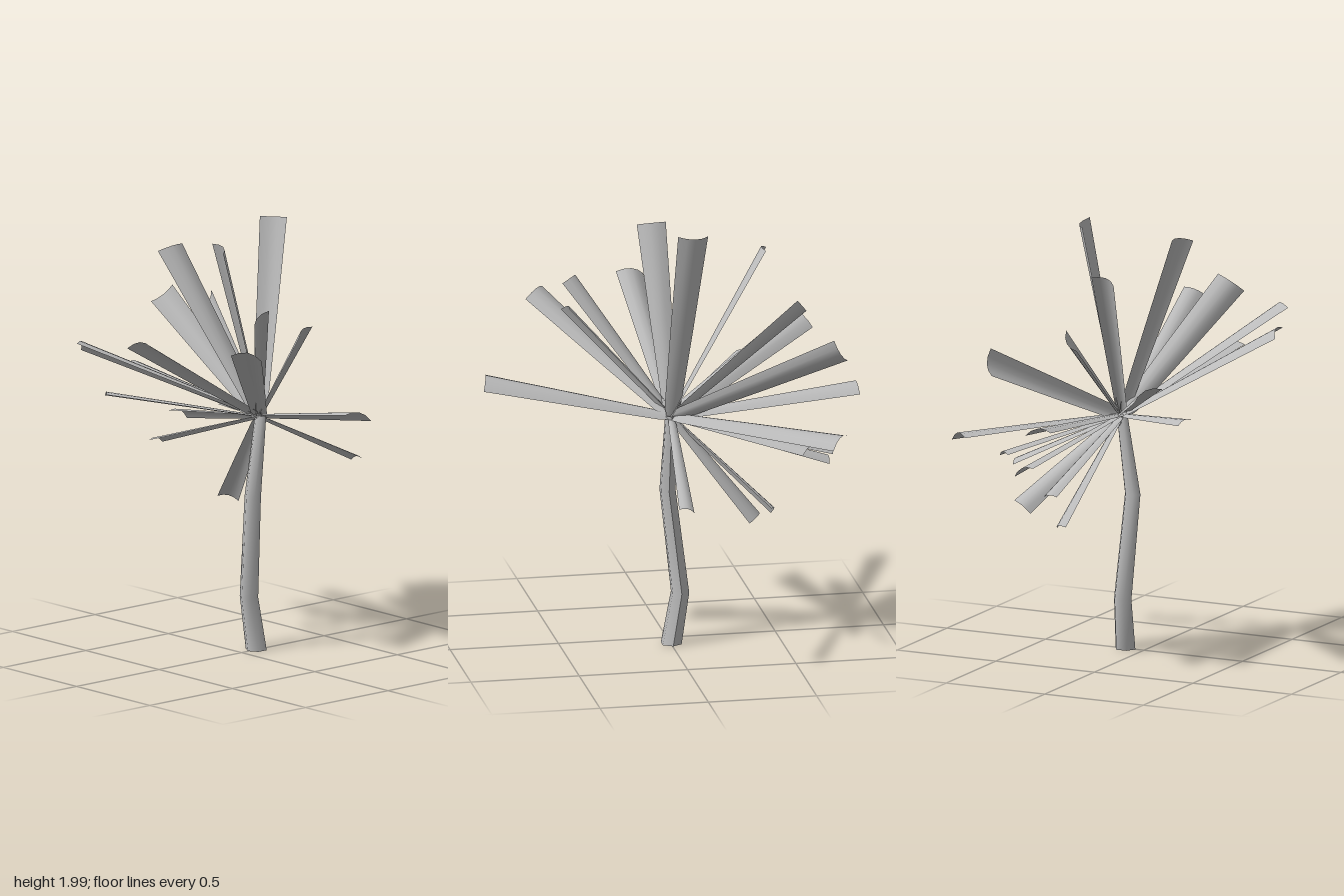
import * as THREE from 'three';

// Smooth open surface through rows of points, all rows the same length
function loft(rows) {
  const n = rows[0].length;
  const index = [];
  for (let i = 0; i < rows.length - 1; i++) {
    for (let j = 0; j < n - 1; j++) {
      const a = i * n + j, b = a + 1, c = a + n, d = c + 1;
      index.push(a, b, d, a, d, c);
    }
  }
  const geo = new THREE.BufferGeometry().setFromPoints(rows.flat());
  geo.setIndex(index);
  geo.computeVertexNormals();
  return geo;
}

// Arched strip widening from the crown to a tip edge between corners a and b;
// curl -1 arches it to the other side
function frondGeometry(crown, a, b, curl) {
  const tip = a.clone().add(b).multiplyScalar(0.5);
  const axis = tip.clone().sub(crown);
  const chord = b.clone().sub(a);
  const width = chord.length();
  chord.normalize();
  const up = new THREE.Vector3().crossVectors(chord, axis).normalize();
  up.multiplyScalar(Math.sign(up.y) * curl);
  // distance along the frond and share of the full width
  const rows = [[-0.01, 0.3], [0.07, 0.54], [0.5, 0.77], [1, 1]].map(([t, share]) => {
    const w = width * share;
    return [-1, -0.5, 0, 0.5, 1].map((s) =>
      crown.clone().addScaledVector(axis, t)
        .addScaledVector(chord, s * w / 2)
        .addScaledVector(up, 0.2 * w * (1 - s * s)));
  });
  return loft(rows);
}

export function createModel() {
  const group = new THREE.Group();
  const grey = new THREE.MeshStandardMaterial({ color: 0xbbbbbb, side: THREE.DoubleSide });
  grey.name = 'plain grey';

  // Bent, tapering trunk: x, y, z, radius of each ring
  const sides = 6;
  const rings = [
    [0.092, 0.01, -0.003, 0.05], [0.085, 0.25, -0.045, 0.044],
    [0.061, 0.73, 0.008, 0.039], [0.113, 1.1, 0.003, 0.027],
  ].map(([x, y, z, r]) => Array.from({ length: sides + 1 }, (_, i) => {
    const t = -i / sides * Math.PI * 2;
    return new THREE.Vector3(x + r * Math.cos(t), y, z + r * Math.sin(t));
  }));
  const trunk = new THREE.Mesh(loft(rings), grey);
  trunk.name = 'trunk';
  group.add(trunk);

  // Two tip corners of every frond, with -1 where it curls the other way
  const tips = [
    // back
    [[0.04, 1.19, -0.86], [0.17, 1.165, -0.86]],
    [[0.20, 0.98, -0.72], [0.30, 0.93, -0.71]],
    [[0.39, 1.40, -0.76], [0.43, 1.51, -0.69], -1],
    [[0.39, 1.00, -0.60], [0.46, 0.98, -0.54]],
    [[0.54, 1.09, -0.73], [0.65, 1.055, -0.645]],
    [[-0.42, 1.40, -0.65], [-0.32, 1.34, -0.735]],
    [[-0.455, 1.21, -0.41], [-0.41, 1.19, -0.47]],
    [[0.02, 1.53, -0.64], [0.10, 1.605, -0.585], -1],
    [[-0.085, 1.81, -0.475], [0.04, 1.83, -0.45]],
    // drooping
    [[0.37, 0.69, -0.41], [0.46, 0.74, -0.395]],
    [[0.20, 0.64, -0.39], [0.275, 0.615, -0.33]],
    [[0.08, 0.86, -0.72], [0.16, 0.84, -0.72]],
    [[0.665, 0.825, 0.07], [0.665, 0.805, 0]],
    // upright and sideways
    [[-0.675, 1.53, -0.02], [-0.65, 1.555, 0.11]],
    [[-0.20, 1.915, 0.1], [-0.155, 1.935, -0.025]],
    [[0.275, 1.995, 0], [0.24, 1.98, -0.145], -1],
    // front
    [[-0.49, 1.555, 0.48], [-0.39, 1.53, 0.577]],
    [[-0.295, 1.625, 0.425], [-0.18, 1.70, 0.39]],
    [[-0.07, 1.575, 0.475], [0.025, 1.605, 0.455]],
    [[-0.10, 1.275, 0.82], [0.03, 1.235, 0.85]],
  ];
  const crown = new THREE.Vector3(0.11, 1.09, 0);
  const fronds = new THREE.Group();
  fronds.name = 'fronds';
  for (const [a, b, curl = 1] of tips) {
    const frond = new THREE.Mesh(
      frondGeometry(crown, new THREE.Vector3(...a), new THREE.Vector3(...b), curl), grey);
    frond.name = 'frond';
    fronds.add(frond);
  }
  group.add(fronds);
  return group;
}
